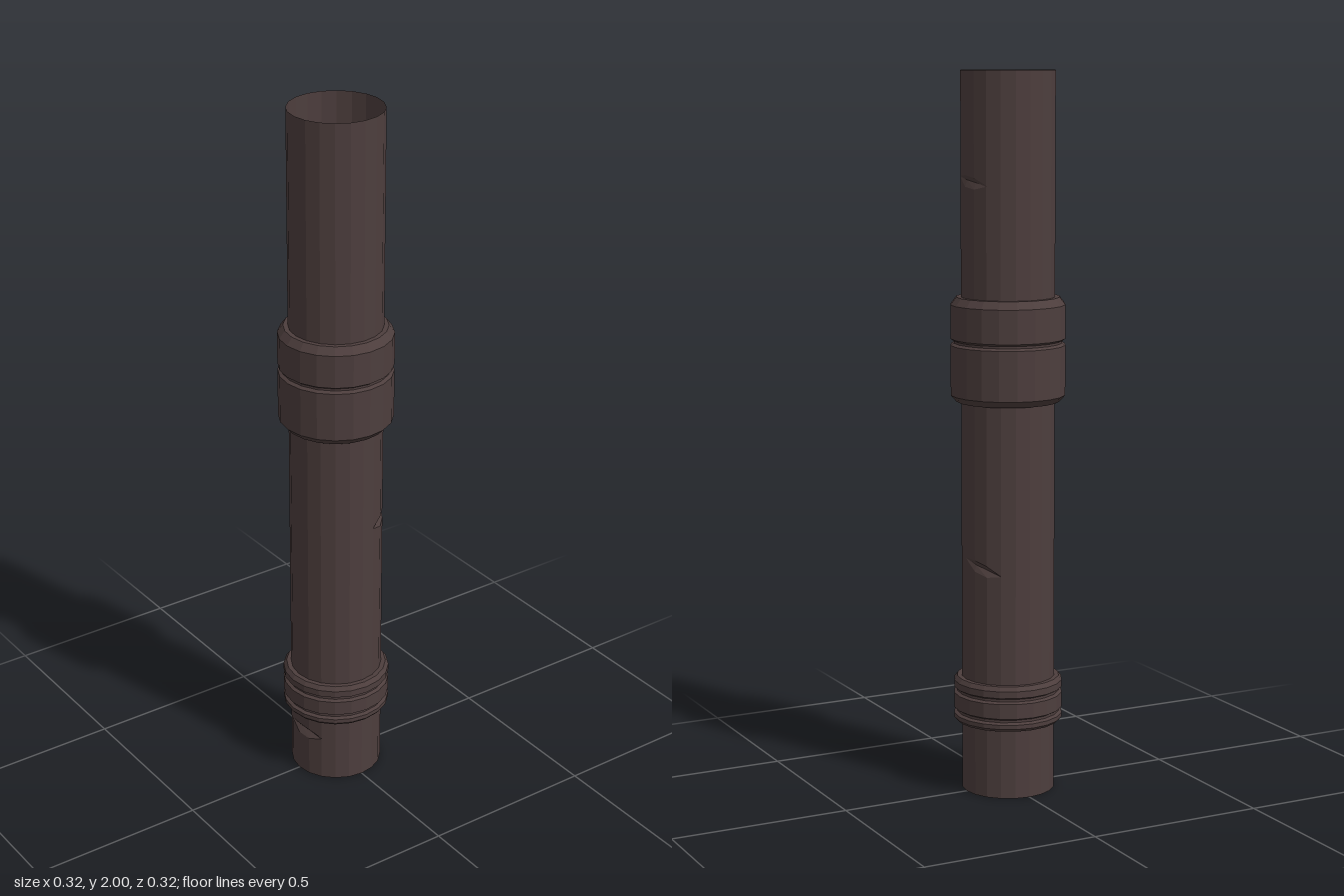
import * as THREE from 'three';

const SIDES = 20;
const R = 0.13;

// Small dents: height, tilt per column, and [column, radius] of each pushed vertex
const DENTS = [
  { y: 0.14, tilt: -0.004, push: [[15, 0.119], [16, 0.118]] },
  { y: 0.65, tilt: -0.012, push: [[6, 0.124], [7, 0.121]] },
  { y: 0.812, tilt: 0.006, push: [[2, 0.117], [3, 0.117]] },
  { y: 1.705, tilt: -0.006, push: [[5, 0.123], [6, 0.122]] },
];

function lathe(profile) {
  return new THREE.LatheGeometry(profile.map(([r, y]) => new THREE.Vector2(r, y)), SIDES);
}

// Open tube with a thin set of three rows at every dent
function pipeGeometry() {
  const rows = [0];
  for (const d of DENTS) rows.push(d.y - 0.018, d.y, d.y + 0.013);
  rows.push(2);
  const geo = lathe(rows.map((y) => [R, y]));
  const pos = geo.attributes.position;
  DENTS.forEach((d, n) => {
    const middle = d.push[0][0] + 0.5;
    // tilt the rows across the dent
    for (let c = d.push[0][0] - 1; c <= d.push[0][0] + 2; c++) {
      for (let k = 1; k <= 3; k++) {
        const i = c * rows.length + n * 3 + k;
        const tip = Math.abs(c - middle) > 1;
        const y = tip ? d.y + (k - 2) * 0.003 : pos.getY(i);
        pos.setY(i, y + (c - middle) * d.tilt);
      }
    }
    // push the middle row inward
    for (const [c, r] of d.push) {
      const i = c * rows.length + n * 3 + 2;
      const a = (c / SIDES) * Math.PI * 2;
      pos.setX(i, r * Math.sin(a));
      pos.setZ(i, r * Math.cos(a));
    }
  });
  geo.computeVertexNormals();
  return geo;
}

export function createModel() {
  const group = new THREE.Group();
  const metal = new THREE.MeshStandardMaterial({ color: 0x4d3e3d, flatShading: true, side: THREE.DoubleSide });
  metal.name = 'dark brown metal';

  const add = (name, geo) => {
    const mesh = new THREE.Mesh(geo, metal);
    mesh.name = name;
    group.add(mesh);
  };

  add('pipe', pipeGeometry());

  // Wide coupling with chamfered ends and a groove
  add('coupling', lathe([
    [R, 1.1], [0.143, 1.1], [0.159, 1.118], [0.159, 1.256], [0.15, 1.262],
    [0.15, 1.268], [0.159, 1.274], [0.159, 1.367], [0.143, 1.388], [R, 1.388],
  ]));

  // Three stacked bands near the foot
  add('lowerBands', lathe([
    [R, 0.197], [0.145, 0.197], [0.152, 0.205], [0.152, 0.217], [0.143, 0.222],
    [0.143, 0.229], [0.152, 0.234], [0.152, 0.276], [0.143, 0.281],
    [0.143, 0.288], [0.152, 0.293], [0.152, 0.312], [0.143, 0.324], [R, 0.324],
  ]));

  return group;
}
